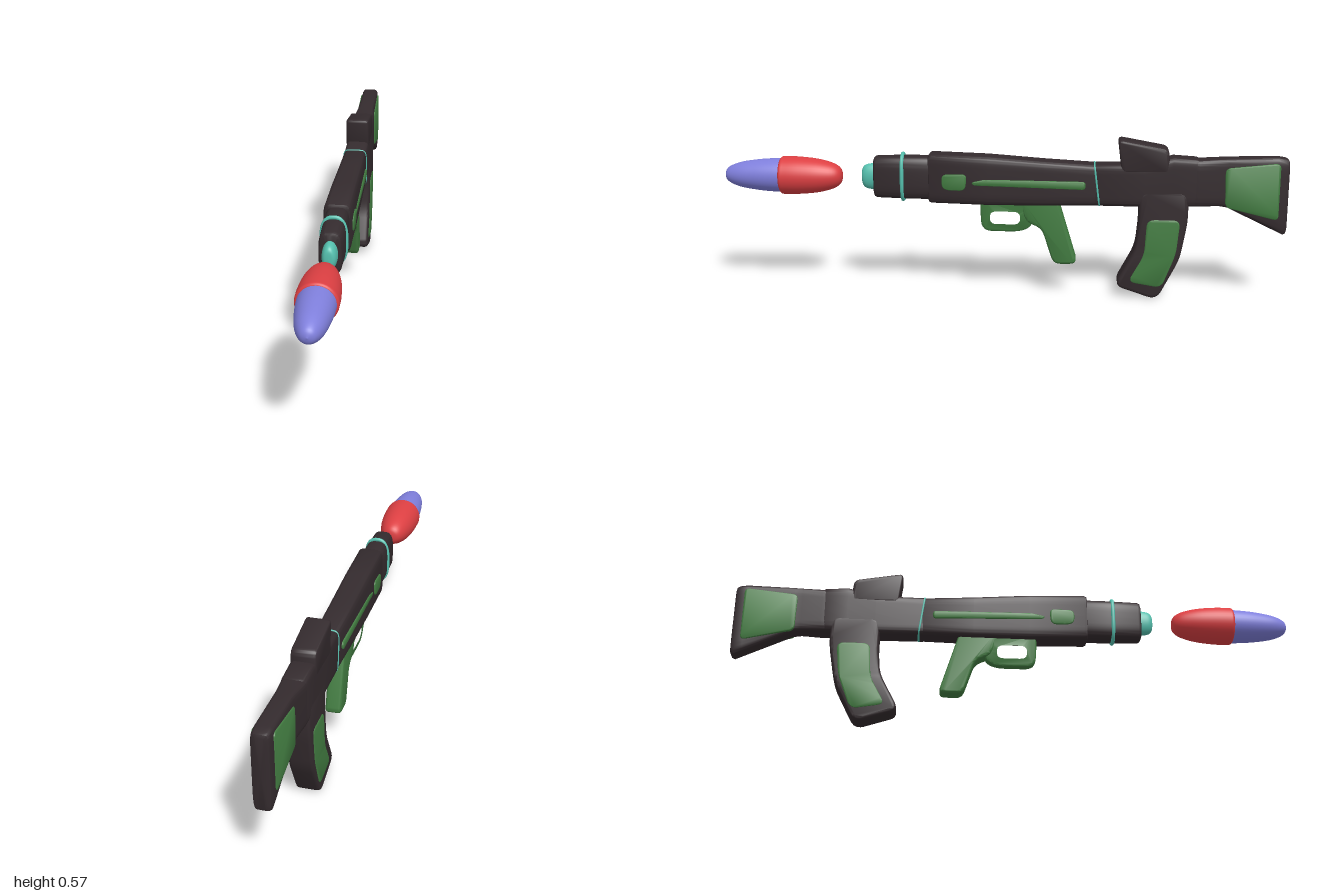
import * as THREE from 'three';
import { toCreasedNormals } from 'three/addons/utils/BufferGeometryUtils.js';

const mat = (color) => new THREE.MeshStandardMaterial({ color });

export function createModel() {
  const group = new THREE.Group();
  const dark = mat(0x342b2e), green = mat(0x427c41), teal = mat(0x55c0ae);
  const red = mat(0xdc3f42), violet = mat(0x7f7fdc);

  const add = (name, geometry, material) => {
    const mesh = new THREE.Mesh(geometry, material);
    mesh.name = name;
    group.add(mesh);
    return mesh;
  };

  // Closed outline through [z, y] points with corners rounded by radius r
  const outline = (pts, r, Type = THREE.Shape) => {
    const s = new Type();
    const v = pts.map((p) => new THREE.Vector2(...p));
    v.forEach((p, i) => {
      const toward = (q) => p.clone().add(q.clone().sub(p).setLength(Math.min(r, q.distanceTo(p) * 0.48)));
      const a = toward(v[(i + v.length - 1) % v.length]);
      const b = toward(v[(i + 1) % v.length]);
      if (i === 0) s.moveTo(a.x, a.y); else s.lineTo(a.x, a.y);
      s.quadraticCurveTo(p.x, p.y, b.x, b.y);
    });
    s.closePath();
    return s;
  };

  // Side profile given thickness across x, from -hw to hw, with soft edges
  const slab = (shape, hw, bevel) => {
    const g = new THREE.ExtrudeGeometry(shape, {
      depth: 2 * (hw - bevel), bevelThickness: bevel, bevelSize: bevel,
      bevelOffset: -bevel, bevelSegments: 4, curveSegments: 6,
    });
    g.translate(0, 0, -(hw - bevel));
    g.rotateY(-Math.PI / 2);
    return toCreasedNormals(g, 0.65);
  };

  // Point on a superellipse of exponent n
  const superPoint = (a, w, h, n) => {
    const f = (t) => Math.sign(t) * Math.abs(t) ** (2 / n);
    return [w * f(Math.cos(a)), h * f(Math.sin(a))];
  };

  // Sections [z, yLow, yHigh, halfWidth] with z rising, closed by rounded ends
  const loft = (sections, n, bevel) => {
    const shrink = ([z, lo, hi, w], dz, d) => [z + dz, lo + d, hi - d, w - d];
    const point = ([z, lo, hi]) => [z, (lo + hi) / 2, (lo + hi) / 2, 0];
    const first = sections[0], last = sections[sections.length - 1];
    const b = bevel;
    const all = [
      point(first), shrink(first, 0, b), shrink(first, b * 0.3, b * 0.3), shrink(first, b, 0),
      ...sections.slice(1, -1),
      shrink(last, -b, 0), shrink(last, -b * 0.3, b * 0.3), shrink(last, 0, b), point(last),
    ];
    const N = 48, pos = [], index = [];
    all.forEach(([z, lo, hi, w], j) => {
      for (let i = 0; i < N; i++) {
        const [x, y] = superPoint((i / N) * Math.PI * 2, w, (hi - lo) / 2, n);
        pos.push(x, y + (lo + hi) / 2, z);
        if (j === all.length - 1) continue;
        const a = j * N + i, c = j * N + ((i + 1) % N);
        index.push(a, c, c + N, a, c + N, a + N);
      }
    });
    const g = new THREE.BufferGeometry();
    g.setAttribute('position', new THREE.Float32BufferAttribute(pos, 3));
    g.setIndex(index);
    return toCreasedNormals(g, 0.65);
  };

  // Tube looped around the body; lean shifts z with height
  const band = (z, y, w, h, n, r, lean) => {
    const pts = Array.from({ length: 48 }, (_, i) => {
      const [px, py] = superPoint((i / 48) * Math.PI * 2, w, h, n);
      return new THREE.Vector3(px, y + py, z + py * lean);
    });
    return new THREE.TubeGeometry(new THREE.CatmullRomCurve3(pts, true), 120, r, 8, true);
  };

  // Barrel, receiver and stock
  add('barrel', loft([[0.2, 0.35, 0.505, 0.042], [0.34, 0.35, 0.505, 0.041], [0.458, 0.353, 0.502, 0.039]], 3.5, 0.012), dark);
  add('receiver', loft([
    [-0.345, 0.34, 0.487, 0.042], [-0.15, 0.336, 0.497, 0.044],
    [0.05, 0.335, 0.511, 0.046], [0.262, 0.34, 0.517, 0.047],
  ], 6, 0.012), dark);
  add('rearBody', loft([
    [-0.69, 0.343, 0.512, 0.041], [-0.6, 0.341, 0.517, 0.042],
    [-0.5, 0.339, 0.49, 0.042], [-0.32, 0.34, 0.487, 0.042],
  ], 7, 0.01), dark);
  add('stock', loft([
    [-1, 0.245, 0.516, 0.032], [-0.96, 0.258, 0.52, 0.033], [-0.79, 0.34, 0.515, 0.033],
    [-0.76, 0.345, 0.513, 0.034], [-0.69, 0.343, 0.508, 0.041], [-0.62, 0.343, 0.513, 0.041],
  ], 7, 0.014), dark);

  // Sight block and curved magazine
  add('sightBlock', slab(outline([[-0.405, 0.58], [-0.582, 0.548], [-0.59, 0.46], [-0.42, 0.46]], 0.02), 0.042, 0.01), dark);
  add('magazine', slab(outline([
    [-0.48, 0.4], [-0.484, 0.29], [-0.474, 0.185], [-0.402, 0.048], [-0.555, -0.002],
    [-0.632, 0.15], [-0.656, 0.29], [-0.655, 0.4],
  ], 0.035), 0.042, 0.012), dark);

  // Pistol grip, and trigger guard that narrows downward
  add('grip', slab(outline([
    [-0.06, 0.36], [-0.085, 0.275], [-0.142, 0.25], [-0.185, 0.12], [-0.27, 0.122], [-0.198, 0.36],
  ], 0.025), 0.028, 0.01), green);
  const guardShape = outline([[0.078, 0.36], [0.074, 0.235], [-0.07, 0.235], [-0.11, 0.26], [-0.13, 0.36]], 0.04);
  guardShape.holes.push(outline([[0.05, 0.318], [0.05, 0.256], [-0.072, 0.256], [-0.072, 0.318]], 0.032, THREE.Path));
  const guard = slab(guardShape, 0.028, 0.007);
  const p = guard.attributes.position;
  for (let i = 0; i < p.count; i++) {
    p.setX(i, p.getX(i) * THREE.MathUtils.mapLinear(p.getY(i), 0.235, 0.34, 0.5, 1));
  }
  add('triggerGuard', toCreasedNormals(guard, 0.65), green);

  // Inlaid panels, showing on both flanks
  const panels = [
    ['sideButton', [[0.212, 0.448], [0.212, 0.4], [0.19, 0.39], [0.128, 0.39], [0.122, 0.45]], 0.02, 0.051],
    ['sideStrip', [[0.108, 0.421], [0.1, 0.409], [-0.295, 0.4], [-0.295, 0.429], [0.06, 0.432]], 0.012, 0.049],
    ['magazinePanel', [[-0.512, 0.296], [-0.505, 0.165], [-0.45, 0.065], [-0.57, 0.045], [-0.618, 0.17], [-0.63, 0.296]], 0.028, 0.0445],
    ['stockPanel', [[-0.778, 0.483], [-0.968, 0.503], [-0.968, 0.298], [-0.782, 0.343]], 0.02, 0.0365],
  ];
  for (const [name, pts, r, hw] of panels) add(name, slab(outline(pts, r), hw, 0.005), green);

  // Teal trim
  add('barrelRing', band(0.354, 0.428, 0.041, 0.082, 2.6, 0.007, 0), teal);
  add('receiverBand', band(-0.335, 0.414, 0.0415, 0.073, 6, 0.0035, 0.13), teal);
  const lathe = (pts) => new THREE.LatheGeometry(
    new THREE.SplineCurve(pts.map((q) => new THREE.Vector2(...q))).getPoints(32).map((q) => (q.x = Math.max(q.x, 0), q)), 40,
  ).rotateX(Math.PI / 2);
  add('muzzle', lathe([[0.046, 0.44], [0.047, 0.465], [0.042, 0.488], [0.028, 0.5], [0, 0.503]])
    .scale(0.55, 1, 1).translate(0, 0.427, 0), teal);

  // Projectile floating ahead of the muzzle
  add('projectileTail', lathe([
    [0, 0.573], [0.026, 0.579], [0.045, 0.605], [0.06, 0.66], [0.067, 0.725], [0.068, 0.775], [0.066, 0.792], [0.05, 0.797], [0, 0.797],
  ]).translate(0, 0.426, 0), red);
  add('projectileNose', lathe([
    [0.061, 0.77], [0.06, 0.82], [0.055, 0.88], [0.044, 0.945], [0.025, 0.988], [0, 1],
  ]).translate(0, 0.426, 0), violet);

  return group;
}
